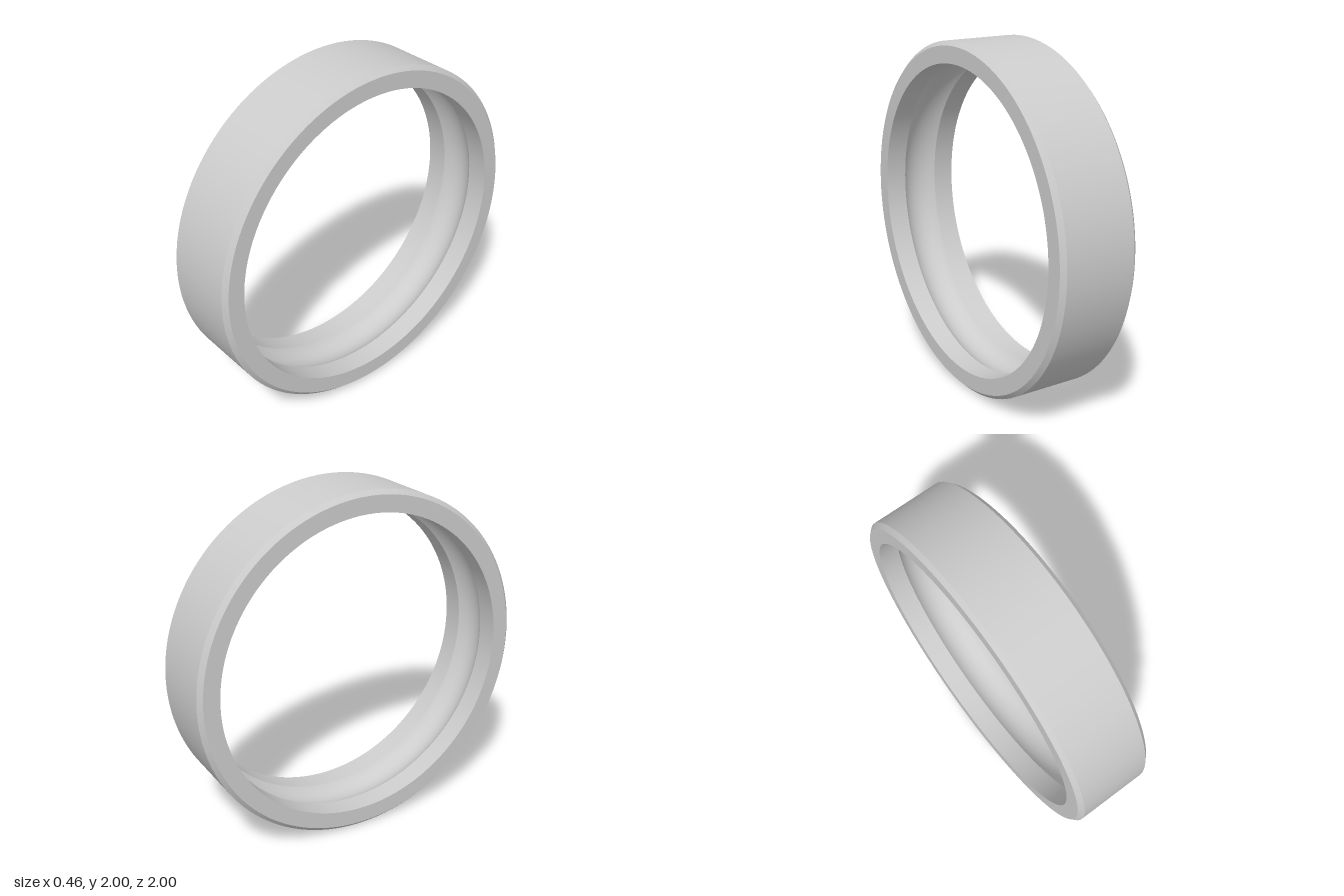
import * as THREE from 'three';

const OUTER = 1, BORE = 0.88, HALF = 0.23, CHAMFER = 0.025;
const GROOVE_HALF = 0.105, GROOVE_R = 0.14;
const SEGMENTS = 128;

export function createModel() {
  const steel = new THREE.MeshStandardMaterial({ color: 0xcccccc });
  steel.name = 'steel';

  const ring = new THREE.Group();
  ring.name = 'bearingOuterRing';

  // Each band is its own lathe, so the edges between bands stay sharp.
  const band = (name, points) => {
    const profile = points.map(([r, h]) => new THREE.Vector2(r, h));
    const mesh = new THREE.Mesh(new THREE.LatheGeometry(profile, SEGMENTS), steel);
    mesh.name = name;
    ring.add(mesh);
  };

  const rim = OUTER - CHAMFER, edge = HALF - CHAMFER;

  // Outside, chamfers and flat end faces
  band('outerWall', [[OUTER, -edge], [OUTER, edge]]);
  band('leftChamfer', [[OUTER, edge], [rim, HALF]]);
  band('leftFace', [[rim, HALF], [BORE, HALF]]);
  band('rightFace', [[BORE, -HALF], [rim, -HALF]]);
  band('rightChamfer', [[rim, -HALF], [OUTER, -edge]]);

  // Inner shoulders on both sides of the ball groove
  band('leftShoulder', [[BORE, HALF], [BORE, GROOVE_HALF]]);
  band('rightShoulder', [[BORE, -GROOVE_HALF], [BORE, -HALF]]);

  // Ball groove: a circular arc cut into the bore
  const half = Math.asin(GROOVE_HALF / GROOVE_R);
  const centre = BORE - GROOVE_R * Math.cos(half);
  const arc = [];
  for (let i = 0; i <= 20; i++) {
    const a = half * (1 - i / 10);
    arc.push([centre + GROOVE_R * Math.cos(a), GROOVE_R * Math.sin(a)]);
  }
  band('ballGroove', arc);

  // Lay the axis along x and stand the ring on the ground
  ring.rotation.z = -Math.PI / 2;
  ring.position.y = OUTER;

  const model = new THREE.Group();
  model.name = 'model';
  model.add(ring);
  return model;
}
